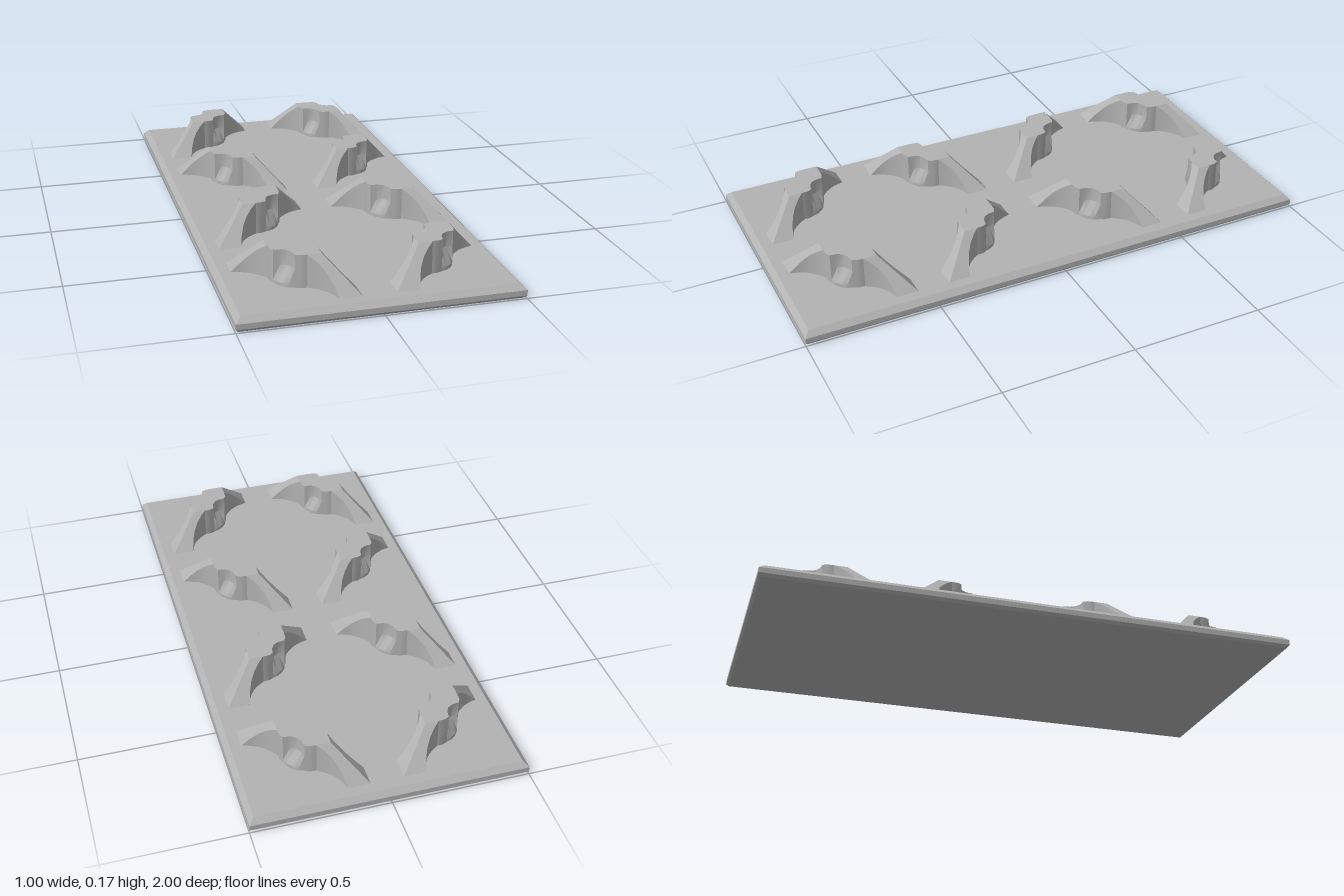
import * as THREE from 'three';
import { mergeGeometries, toCreasedNormals } from 'three/addons/utils/BufferGeometryUtils.js';

const PLATE_TOP = 0.05, BLOCK_TOP = 0.17;

// Strip of quads between two rows of [x, y, z] points
function strip(low, high) {
  const p = [];
  for (let i = 0; i < low.length - 1; i++) {
    p.push(...low[i], ...high[i], ...low[i + 1], ...low[i + 1], ...high[i], ...high[i + 1]);
  }
  const g = new THREE.BufferGeometry();
  g.setAttribute('position', new THREE.Float32BufferAttribute(p, 3));
  return g;
}

// Upward-facing polygon from [x, z] points, lifted by a height rule
function cap(points, height) {
  const shape = new THREE.Shape(points.map(([x, z]) => new THREE.Vector2(x, -z)));
  const g = new THREE.ShapeGeometry(shape).rotateX(-Math.PI / 2).toNonIndexed();
  const pos = g.attributes.position;
  for (let i = 0; i < pos.count; i++) pos.setY(i, height(pos.getX(i), pos.getZ(i)));
  g.deleteAttribute('uv');
  g.deleteAttribute('normal');
  return g;
}

const join = (parts, crease) => toCreasedNormals(mergeGeometries(parts), crease);
const at = (points, y) => points.map(([x, z]) => [x, typeof y === 'function' ? y(x, z) : y, z]);

// Plate with a wide top bevel and a narrow bottom bevel
function plateGeometry() {
  const loop = (inset, y) => {
    const x = 0.5 - inset, z = 1 - inset;
    return at([[x, z], [-x, z], [-x, -z], [x, -z], [x, z]], y);
  };
  const rings = [loop(0.01, 0), loop(0, 0.011), loop(0, 0.031), loop(0.02, PLATE_TOP)];
  const parts = [];
  for (let i = 0; i < rings.length - 1; i++) parts.push(strip(rings[i], rings[i + 1]));
  parts.push(cap([[0.48, 0.98], [-0.48, 0.98], [-0.48, -0.98], [0.48, -0.98]], () => PLATE_TOP));
  const bottom = new THREE.PlaneGeometry(0.98, 1.98).rotateX(Math.PI / 2).toNonIndexed();
  bottom.deleteAttribute('uv');
  bottom.deleteAttribute('normal');
  parts.push(bottom);
  return join(parts, 0.3);
}

// Truncated pyramid with two opposite corners scooped out and a niche in each scoop
function blockGeometry() {
  const height = (x, z) => Math.min(BLOCK_TOP,
    PLATE_TOP + (0.19 - Math.max(Math.abs(x), Math.abs(z))) / 0.11 * (BLOCK_TOP - PLATE_TOP));
  const mirror = (pts) => pts.map(([x, z]) => [-z, -x]).reverse();
  const turn = (pts) => pts.map(([x, z]) => [-x, -z]);

  const scoop = [[0.11, 0.19], [0.101, 0.16], [0.089, 0.135], [0.072, 0.113], [0.052, 0.095], [0.03, 0.08]];
  const rim = [[0.03, 0.08], [0.005, 0.078], [-0.01, 0.07]];
  const nicheBack = [[-0.01, 0.07], [-0.014, 0.044], [-0.025, 0.025], [-0.044, 0.014], [-0.07, 0.01]];
  const nicheLip = [[-0.01, 0.07], [-0.03, 0.063], [-0.049, 0.049], [-0.063, 0.03], [-0.07, 0.01]];
  const wall = [...scoop, ...rim.slice(1)];

  // Side wall, niche lip, sloped niche floor and niche back
  const side = [
    ...[wall, mirror(wall)].map((w) => strip(at(w, 0.045), at(w, height))),
    strip(at(nicheLip, 0.045), at(nicheLip, 0.063)),
    strip(at(nicheLip, 0.063), at(nicheBack, 0.115)),
    strip(at(nicheBack, 0.115), at(nicheBack, BLOCK_TOP)),
  ];
  // Two sloped faces of one end
  const slope = [...scoop, [0.08, 0.08], [0.19, 0.19]];
  side.push(cap(slope, height), cap(slope.map(([x, z]) => [z, x]), height));

  const edge = [[0.08, 0.08], ...rim, ...nicheBack.slice(1), ...mirror(rim).slice(1)];
  const top = cap([...edge, ...turn(edge)], () => BLOCK_TOP);
  return join([...side, ...side.map((g) => g.clone().rotateY(Math.PI)), top], 0.5);
}

export function createModel() {
  const model = new THREE.Group();
  model.name = 'studdedPlate';
  const grey = new THREE.MeshStandardMaterial({ color: 0xb2b2b2 });
  grey.name = 'grey';

  const plate = new THREE.Mesh(plateGeometry(), grey);
  plate.name = 'plate';
  model.add(plate);

  // Eight blocks, alternating in diagonal direction
  const block = blockGeometry();
  for (let i = 0; i < 2; i++) {
    for (let j = 0; j < 4; j++) {
      const mesh = new THREE.Mesh(block, grey);
      mesh.name = `cornerBlock${i * 4 + j + 1}`;
      mesh.position.set(i * 0.5 - 0.25, 0, j * 0.5 - 0.75);
      if ((i + j) % 2 === 0) mesh.rotation.y = Math.PI / 2;
      model.add(mesh);
    }
  }
  return model;
}
